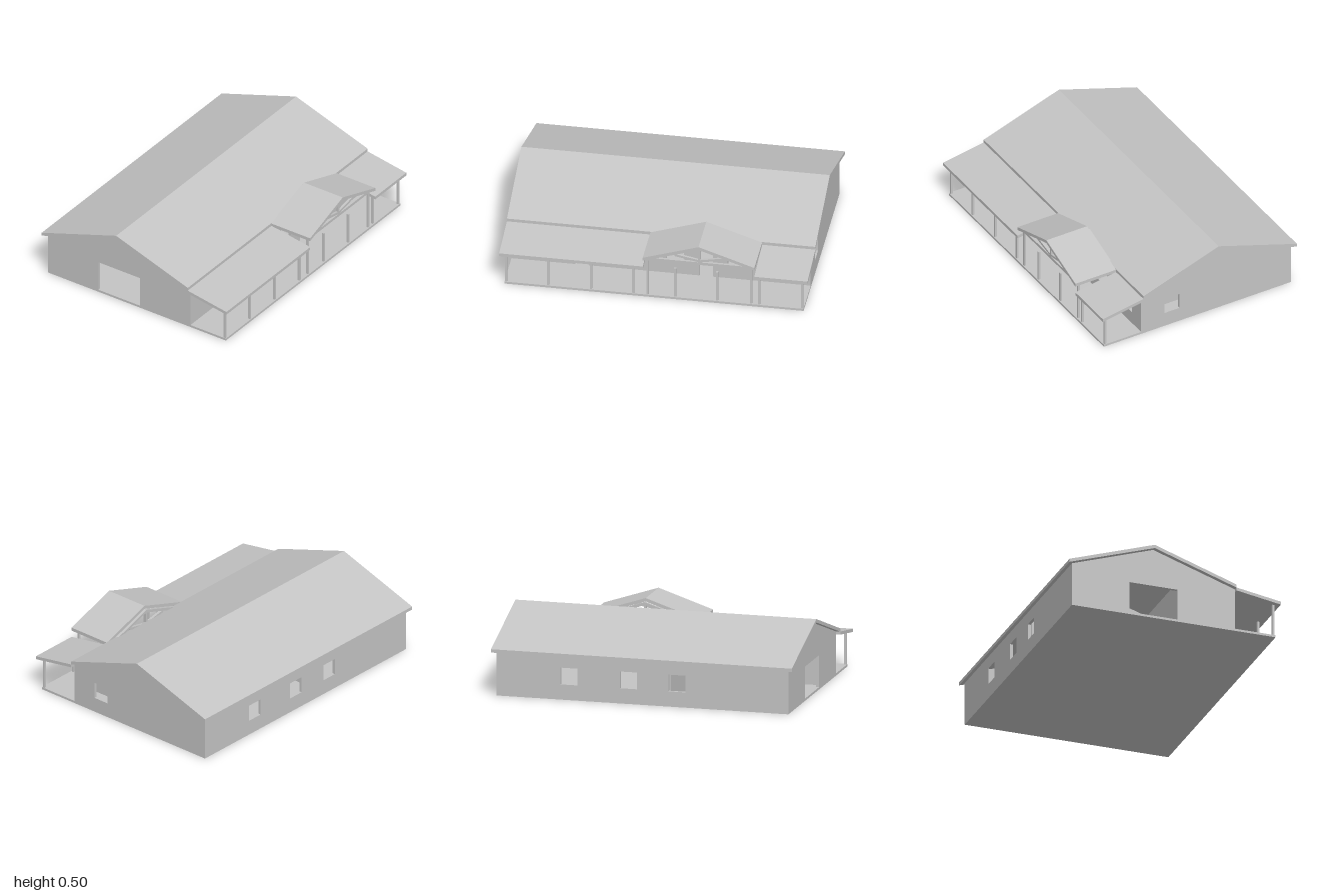
import * as THREE from 'three';

const grey = new THREE.MeshStandardMaterial({ color: 0xc4c4c4 });
grey.name = 'plain grey';

const WALL = 0.02;      // wall thickness
const HALF = 0.97;      // half width of the house
const FRONT = 0.42, BACK = -0.695, RIDGE_Z = -0.14;
const EAVE = 0.293, PEAK = 0.479;
const GABLE_X = 0.293;  // centre of the porch gable

export function createModel() {
  const house = new THREE.Group();
  house.name = 'house';

  const add = (name, geometry, parent = house) => {
    const mesh = new THREE.Mesh(geometry, grey);
    mesh.name = name;
    parent.add(mesh);
    return mesh;
  };
  const group = (name) => {
    const g = new THREE.Group();
    g.name = name;
    house.add(g);
    return g;
  };
  const box = (name, x0, x1, y0, y1, z0, z1, parent) =>
    add(name, new THREE.BoxGeometry(x1 - x0, y1 - y0, z1 - z0), parent)
      .position.set((x0 + x1) / 2, (y0 + y1) / 2, (z0 + z1) / 2);

  // outline with rectangular openings [u0, u1, v0, v1]
  const outline = (points, openings = []) => {
    const shape = new THREE.Shape(points.map(([u, v]) => new THREE.Vector2(u, v)));
    for (const [u0, u1, v0, v1] of openings) {
      shape.holes.push(new THREE.Path([[u0, v0], [u0, v1], [u1, v1], [u1, v0]]
        .map(([u, v]) => new THREE.Vector2(u, v))));
    }
    return shape;
  };
  // (x, y) outline pushed from z0 to z1
  const alongZ = (name, points, z0, z1, openings, parent) =>
    add(name, new THREE.ExtrudeGeometry(outline(points, openings),
      { depth: z1 - z0, bevelEnabled: false }).translate(0, 0, z0), parent);
  // (z, y) outline pushed from x0 to x1
  const alongX = (name, points, x0, x1, openings, parent) =>
    add(name, new THREE.ExtrudeGeometry(outline(points, openings),
      { depth: x1 - x0, bevelEnabled: false }).rotateY(-Math.PI / 2).translate(x1, 0, 0), parent);
  const rect = (u0, u1, v0, v1) => [[u0, v0], [u1, v0], [u1, v1], [u0, v1]];

  // slabs
  box('houseFloor', -HALF + WALL, HALF - WALL, 0, 0.015, BACK + WALL, FRONT - WALL);
  box('porchFloor', -HALF, HALF, 0, 0.015, FRONT, 0.697);

  // long walls with windows and doorways
  const windowAt = (u) => [u, u + 0.112, 0.1, 0.21];
  const walls = group('walls');
  alongZ('frontWall', rect(-HALF, HALF, 0, EAVE), FRONT - WALL, FRONT, [
    ...[-0.285, 0.036, 0.432, 0.742].map(windowAt),
    [-0.558, -0.468, 0.015, 0.2], [0.25, 0.336, 0.015, 0.2],
  ], walls);
  alongZ('backWall', rect(-HALF, HALF, 0, EAVE), BACK, BACK + WALL,
    [-0.285, 0.036, 0.432].map(windowAt), walls);

  // gabled end walls, one with a window and one with the garage opening
  const endProfile = (inset) => [
    [BACK + inset, 0], [FRONT - inset, 0], [FRONT - inset, EAVE],
    [RIDGE_Z, PEAK], [BACK + inset, EAVE],
  ];
  alongX('leftEndWall', endProfile(0), HALF - WALL, HALF, [windowAt(0.135)], walls);
  alongX('rightEndWall', endProfile(0), -HALF, -HALF + WALL, [[-0.3, 0.025, 0.015, 0.225]], walls);

  // inner partitions
  alongX('middlePartition', endProfile(WALL), -0.185, -0.168, [], walls);
  alongX('leftPartition', endProfile(WALL), 0.768, 0.785, [], walls);
  box('garagePartition', -HALF + WALL, -0.185, 0.015, 0.35, 0.08, 0.097, walls);

  // main roof
  alongX('mainRoof', [
    [-0.722, 0.286], [RIDGE_Z, PEAK], [FRONT, 0.292],
    [FRONT, 0.314], [RIDGE_Z, 0.502], [-0.722, 0.308],
  ], -1, 1);

  // lean-to porch roofs either side of the gable
  const porchProfile = [[FRONT, 0.272], [0.722, 0.222], [0.722, 0.243], [FRONT, 0.293]];
  alongX('porchRoof', porchProfile, -1, -0.068);
  alongX('porchRoof', porchProfile, 0.655, 1);

  // porch posts [x, top]
  const posts = group('porchPosts');
  const postList = [
    [-0.96, 0.232], [-0.688, 0.232], [-0.41, 0.232], [-0.136, 0.232], [-0.042, 0.276],
    [0.136, 0.23], [0.408, 0.23], [0.628, 0.276], [0.68, 0.232], [0.96, 0.232],
  ];
  for (const [x, top] of postList) {
    box('post', x - 0.007, x + 0.007, 0.015, top, 0.677, 0.691, posts);
  }

  // porch gable roof
  const gx = (d) => GABLE_X + d;
  alongZ('gableRoof', [
    [gx(-0.362), 0.288], [gx(0), 0.408], [gx(0.362), 0.288],
    [gx(0.362), 0.31], [gx(0), 0.43], [gx(-0.362), 0.31],
  ], FRONT, 0.722);
  for (const x of [-0.042, 0.628]) {
    box('gableBeam', x - 0.007, x + 0.007, 0.275, 0.291, FRONT, 0.691);
  }

  // open trusses at the front and back of the gable
  const truss = (z0, z1) => {
    const g = group('gableTruss');
    alongZ('bottomChord', rect(gx(-0.342), gx(0.342), 0.275, 0.294), z0, z1, [], g);
    alongZ('rafters', [
      [gx(-0.342), 0.275], [gx(0), 0.388], [gx(0.342), 0.275],
      [gx(0.342), 0.294], [gx(0), 0.407], [gx(-0.342), 0.294],
    ], z0, z1, [], g);
    alongZ('kingPost', rect(gx(-0.007), gx(0.007), 0.29, 0.395), z0, z1, [], g);
    for (const s of [-1, 1]) {
      alongZ('brace', [
        [gx(0), 0.294], [gx(s * 0.16), 0.325], [gx(s * 0.16), 0.341], [gx(0), 0.31],
      ], z0, z1, [], g);
    }
  };
  truss(0.676, 0.692);
  truss(FRONT - 0.018, FRONT);

  return house;
}
